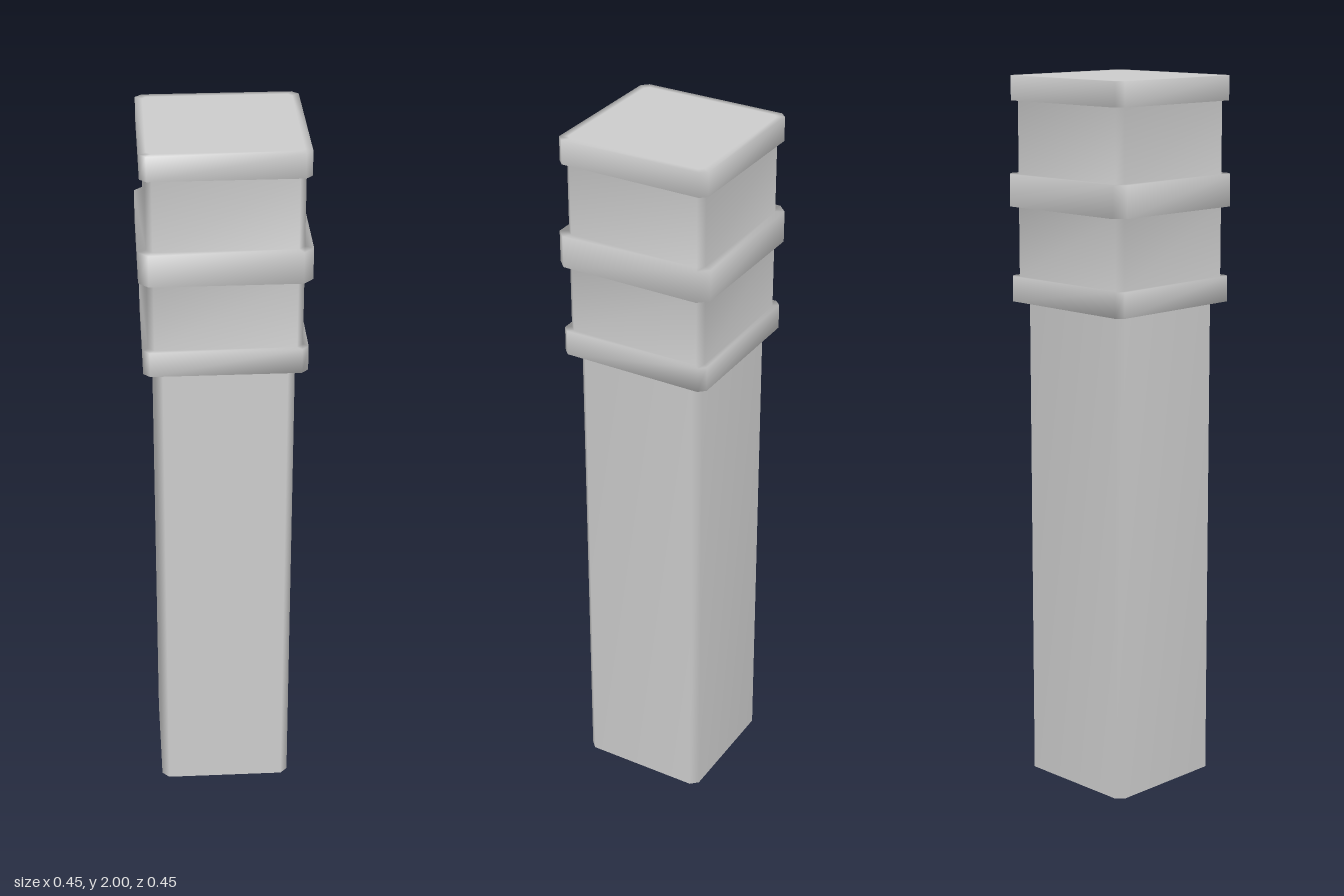
import * as THREE from 'three';

const material = new THREE.MeshStandardMaterial({ color: 0xcccccc });

// Square ring with cut corners, counter-clockwise seen from above
function ring(half, cut, y) {
  const f = half - cut;
  return [
    [half, f], [half, -f], [f, -half], [-f, -half],
    [-half, -f], [-half, f], [-f, half], [f, half],
  ].map(([x, z]) => [x, y, z]);
}

// Skin a list of [half width, corner cut, y] rings from bottom to top.
// Repeating a ring makes a hard edge there.
function loft(name, profile) {
  const positions = [], index = [];
  profile.forEach((p) => ring(...p).forEach((v) => positions.push(...v)));
  for (let r = 0; r < profile.length - 1; r++) {
    if (profile[r].every((v, i) => v === profile[r + 1][i])) continue;
    for (let i = 0; i < 8; i++) {
      const a = r * 8 + i, b = r * 8 + (i + 1) % 8;
      index.push(a, b, b + 8, a, b + 8, a + 8);
    }
  }
  // Flat end caps
  const top = (profile.length - 1) * 8;
  for (let i = 1; i < 7; i++) {
    index.push(0, i + 1, i);
    index.push(top, top + i, top + i + 1);
  }
  const geometry = new THREE.BufferGeometry();
  geometry.setAttribute('position', new THREE.Float32BufferAttribute(positions, 3));
  geometry.setIndex(index);
  geometry.computeVertexNormals();
  const mesh = new THREE.Mesh(geometry, material);
  mesh.name = name;
  return mesh;
}

export function createModel() {
  const group = new THREE.Group();
  group.name = 'post';

  // Long plain shaft with a hard bottom edge
  group.add(loft('shaft', [
    [0.187, 0.02, 0], [0.187, 0.02, 0], [0.187, 0.02, 1.38], [0.187, 0.02, 1.38],
  ]));

  // Head with three raised bands, softly shaded across the ledges
  const body = [0.205, 0.017], band = [0.219, 0.018], midBand = [0.227, 0.027];
  group.add(loft('bandedHead', [
    [0.187, 0.02, 1.38], [0.187, 0.02, 1.38],
    [...band, 1.38], [...band, 1.45],
    [...body, 1.45], [...body, 1.645],
    [...midBand, 1.645], [...midBand, 1.733],
    [...body, 1.733], [...body, 1.933],
    [...band, 1.933], [...band, 2],
    [0.2, 0.012, 2],
  ]));
  return group;
}
